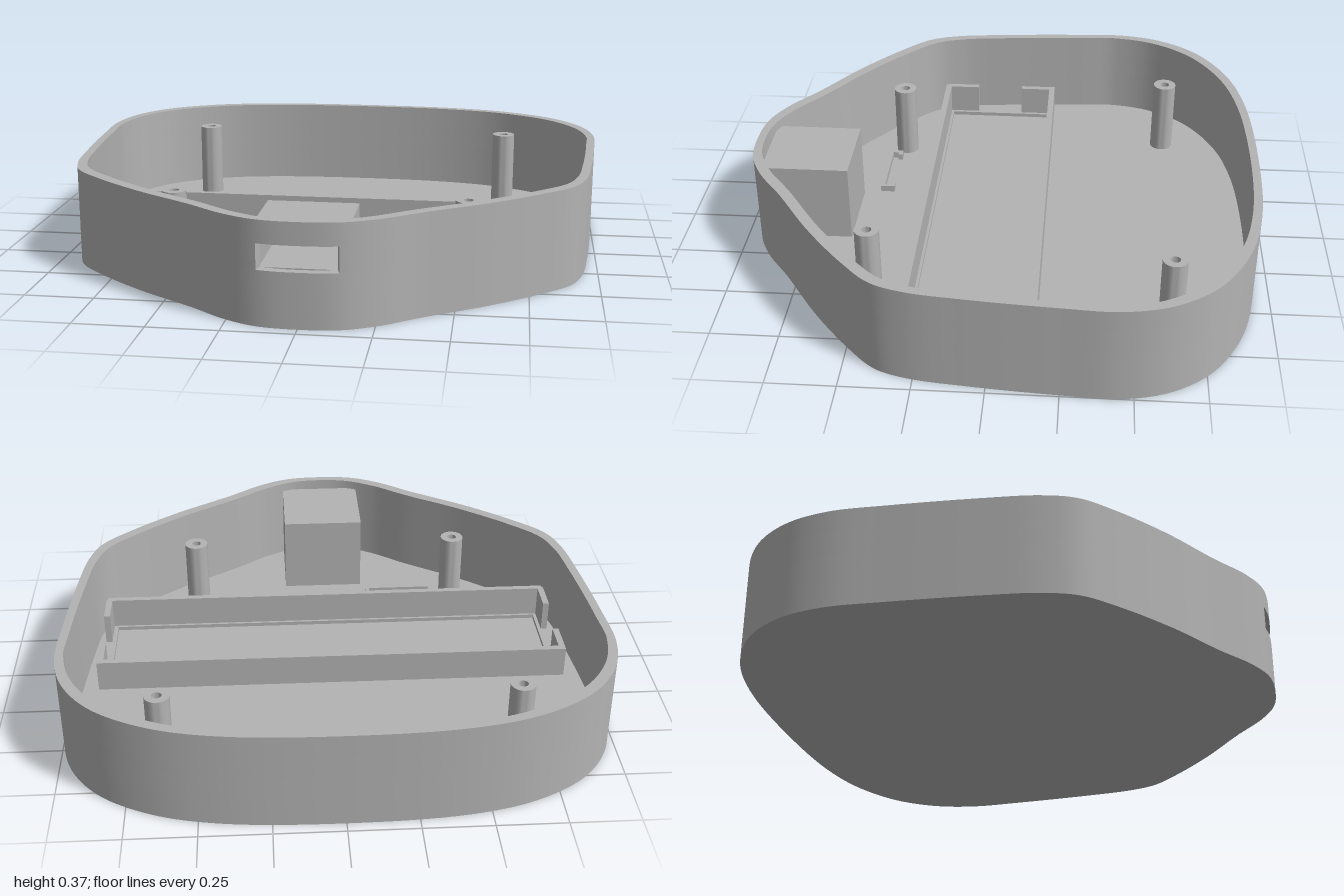
import * as THREE from 'three';
import { toCreasedNormals } from 'three/addons/utils/BufferGeometryUtils.js';

const H = 0.365, FLOOR = 0.03, RECESS = 0.015;
const SLOT = { half: 0.137, y0: 0.195, y1: 0.285, back: 0.66 };

// Half of the shell outline in (x, z), from back centre to front centre
const HALF = [
  [0, -0.96], [0.42, -0.938], [0.66, -0.877], [0.85, -0.762], [0.957, -0.615],
  [0.999, -0.45], [0.993, -0.24], [0.968, 0.08], [0.943, 0.27], [0.9, 0.387],
  [0.797, 0.495], [0.61, 0.647], [0.396, 0.79], [0.255, 0.893], [SLOT.half, 0.946], [0, 0.959],
];
const STEPS = 8;

export function createModel() {
  const grey = new THREE.MeshStandardMaterial({ color: 0xb3b3b3 });
  grey.name = 'grey plastic';
  const model = new THREE.Group();
  model.name = 'enclosureTray';

  const add = (name, geometry, parent = model) => {
    const mesh = new THREE.Mesh(geometry, grey);
    mesh.name = name;
    parent.add(mesh);
    return mesh;
  };
  const group = (name) => {
    const g = new THREE.Group();
    g.name = name;
    model.add(g);
    return g;
  };
  // Upright prism from a plan in (x, z), between heights y0 and y1
  const prism = (name, points, y0, y1, parent, hole) => {
    const shape = new THREE.Shape(points);
    if (hole) shape.holes.push(new THREE.Path(hole));
    const geo = new THREE.ExtrudeGeometry(shape, { depth: y1 - y0, bevelEnabled: false });
    geo.rotateX(Math.PI / 2).translate(0, y1, 0);
    return add(name, toCreasedNormals(geo, 0.5), parent);
  };
  const plan = (list) => list.map(([x, z]) => new THREE.Vector2(x, z));
  const rect = (x0, x1, z0, z1) => plan([[x0, z0], [x1, z0], [x1, z1], [x0, z1]]);

  // Outer outline and its inward offset
  const controls = [...HALF, ...HALF.slice(1, -1).reverse().map(([x, z]) => [-x, z])];
  const curve = new THREE.CatmullRomCurve3(
    controls.map(([x, z]) => new THREE.Vector3(x, 0, z)), true, 'centripetal');
  const count = controls.length * STEPS;
  const outer = [], inner = [];
  for (let i = 0; i < count; i++) {
    const p = curve.getPoint(i / count), t = curve.getTangent(i / count);
    const thick = 0.03 + 0.024 * Math.abs(t.x * t.z);
    outer.push(new THREE.Vector2(p.x, p.z));
    inner.push(new THREE.Vector2(p.x - t.z * thick, p.z + t.x * thick));
  }

  // Floor: solid slab, then a layer with a rectangular recess
  const floor = group('floor');
  prism('floorSlab', outer, 0, RECESS, floor);
  prism('floorTop', inner, RECESS, FLOOR, floor, rect(-0.86, 0.857, -0.128, 0.29));

  // Shell wall, with an opening at the front of the middle band
  const wall = group('wall');
  prism('wallLower', outer, RECESS, SLOT.y0, wall, inner);
  prism('wallUpper', outer, SLOT.y1, H, wall, inner);
  const edge = 14 * STEPS;
  const open = (list) => [...list.slice(edge + 2 * STEPS), ...list.slice(0, edge + 1)];
  prism('wallMiddle', [...open(outer), ...open(inner).reverse()], SLOT.y0, SLOT.y1, wall);

  // Port block behind the opening, hollow at slot height
  const port = group('portBlock');
  const block = rect(-0.16, 0.16, 0.585, 0.915);
  prism('portLower', block, FLOOR, SLOT.y0, port);
  prism('portUpper', block, SLOT.y1, 0.33, port);
  const s = SLOT.half - 0.005;
  prism('portMiddle', plan([[-0.16, 0.585], [0.16, 0.585], [0.16, 0.915], [s, 0.915],
    [s, SLOT.back], [-s, SLOT.back], [-s, 0.915], [-0.16, 0.915]]), SLOT.y0, SLOT.y1, port);

  // Battery rails: long walls with short returns at both ends
  const rails = group('batteryRails');
  const rail = (name, z, dir) => {
    const a = z + dir * 0.024, b = z + dir * 0.146;
    prism(name, plan([[-0.897, z], [0.897, z], [0.897, b], [0.873, b], [0.873, a],
      [-0.873, a], [-0.873, b], [-0.897, b]]), FLOOR, 0.15, rails);
  };
  rail('backRail', -0.16, 1);
  rail('frontRail', 0.324, -1);

  // Small board clip with hooked ends
  prism('boardClip', plan([[-0.46, 0.52], [-0.46, 0.465], [-0.427, 0.465], [-0.427, 0.483],
    [-0.444, 0.483], [-0.444, 0.505], [-0.192, 0.505], [-0.192, 0.483], [-0.21, 0.483],
    [-0.21, 0.465], [-0.176, 0.465], [-0.176, 0.52]]), FLOOR, 0.055);

  // Screw posts with blind holes
  const postProfile = plan([[0.045, FLOOR], [0.045, 0.32], [0.018, 0.32], [0.018, 0.06], [0, 0.06]]);
  const postGeo = toCreasedNormals(new THREE.LatheGeometry(postProfile, 32).toNonIndexed(), 0.5);
  const posts = group('screwPosts');
  for (const side of [-1, 1]) {
    add('backPost', postGeo, posts).position.set(side * 0.635, 0, -0.63);
    add('frontPost', postGeo, posts).position.set(side * 0.528, 0, 0.455);
  }
  return model;
}
